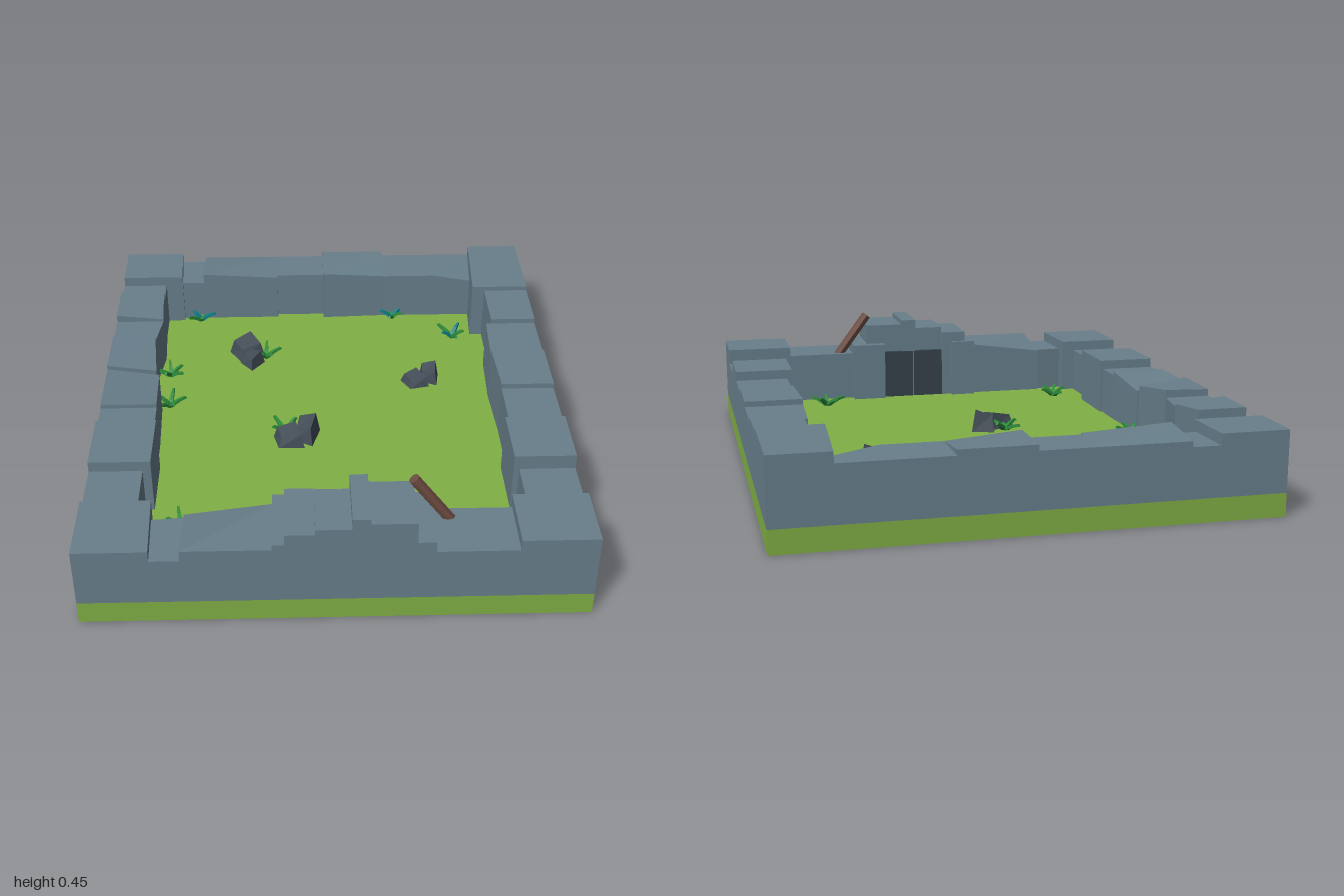
import * as THREE from 'three';

const mat = (color) => new THREE.MeshStandardMaterial({ color, flatShading: true });
const stone = mat(0x687f8b), turf = mat(0x80b045), slate = mat(0x424c56), dark = mat(0x37434b);
const wood = mat(0x6d4c41), leaf = mat(0x2e8b3a), teal = mat(0x0e8087);
const HX = 0.86, HZ = 1, BASE = 0.083;

function add(parent, name, geometry, material) {
  const mesh = new THREE.Mesh(geometry, material);
  mesh.name = name;
  parent.add(mesh);
  return mesh;
}

// Box whose eight corners are placed by a rule of their signs
function cornerBox(place) {
  const g = new THREE.BoxGeometry(2, 2, 2).toNonIndexed();
  const p = g.attributes.position;
  for (let i = 0; i < p.count; i++) p.setXYZ(i, ...place(p.getX(i), p.getY(i), p.getZ(i)));
  g.computeVertexNormals();
  return g;
}

// Wall stone: [start, end, depth at start, depth at end, outer height, inner height at start, at end]
function wallStone(side, [a0, a1, d0, d1, h, i0 = h, i1 = h]) {
  const alongX = side === 'front' || side === 'back';
  const out = side === 'front' || side === 'right' ? 1 : -1;
  return cornerBox((sx, sy, sz) => {
    const end = (alongX ? sx : sz) > 0;
    const outer = (alongX ? sz : sx) === out;
    const a = end ? a1 : a0, d = outer ? 0 : end ? d1 : d0;
    const y = sy < 0 ? BASE : outer ? h : end ? i1 : i0;
    return alongX ? [a, y, out * (HZ - d)] : [out * (HX - d), y, a];
  });
}

const walls = {
  left: [
    [-1, -0.79, 0.24, 0.25, 0.3], [-0.79, -0.665, 0.18, 0.18, 0.26],
    [-0.665, -0.475, 0.18, 0.19, 0.3, 0.3, 0.28], [-0.475, -0.33, 0.19, 0.17, 0.27],
    [-0.33, -0.105, 0.17, 0.19, 0.295, 0.3, 0.27], [-0.105, 0.14, 0.2, 0.21, 0.28, 0.25, 0.28],
    [0.14, 0.27, 0.21, 0.21, 0.265], [0.27, 0.52, 0.22, 0.22, 0.3],
    [0.52, 0.735, 0.19, 0.19, 0.26], [0.735, 1, 0.24, 0.25, 0.3],
  ],
  right: [
    [-1, -0.64, 0.21, 0.23, 0.318], [-0.64, -0.405, 0.18, 0.18, 0.3],
    [-0.405, -0.17, 0.2, 0.21, 0.28], [-0.17, 0.07, 0.21, 0.2, 0.3],
    [0.07, 0.305, 0.2, 0.2, 0.28], [0.305, 0.545, 0.22, 0.22, 0.315],
    [0.545, 0.76, 0.2, 0.2, 0.26], [0.76, 1, 0.26, 0.26, 0.32],
  ],
  back: [
    [-0.62, -0.52, 0.19, 0.19, 0.26], [-0.52, -0.2, 0.19, 0.19, 0.28, 0.3, 0.28],
    [-0.2, 0, 0.17, 0.17, 0.28], [0, 0.265, 0.2, 0.19, 0.3, 0.3, 0.28],
    [0.265, 0.48, 0.19, 0.19, 0.28], [0.48, 0.65, 0.19, 0.19, 0.28, 0.28, 0.25],
  ],
  front: [
    [-0.62, -0.5, 0.21, 0.22, 0.26], [-0.51, -0.21, 0.235, 0.235, 0.3, 0.26, 0.3],
    [-0.21, -0.11, 0.26, 0.26, 0.32], [-0.17, -0.07, 0.24, 0.24, 0.36],
    [-0.07, 0.05, 0.21, 0.21, 0.38], [0.05, 0.11, 0.235, 0.235, 0.42],
    [0.11, 0.262, 0.22, 0.22, 0.4], [0.19, 0.325, 0.26, 0.26, 0.32],
    [0.325, 0.61, 0.22, 0.22, 0.28],
  ],
};

// Tapered blade lying outwards from a clump
function blade(length, lean, turn) {
  const g = new THREE.BoxGeometry(0.02, length, 0.012, 1, 3, 1);
  g.translate(0, length / 2, 0);
  const p = g.attributes.position;
  for (let i = 0; i < p.count; i++) {
    const t = p.getY(i) / length;
    p.setX(i, p.getX(i) * (1.1 - 0.7 * t));
    p.setZ(i, p.getZ(i) + 0.02 * t * t);
  }
  return g.rotateX(lean).rotateY(turn);
}

function rock(w, h, d) {
  return cornerBox((sx, sy, sz) => {
    const k = sy > 0 ? 0.72 : 1;
    return [sx * w * k + sz * 0.006, sy > 0 ? h * (1 + 0.14 * sx - 0.12 * sz) : 0, sz * d * (k + 0.12 * sx)];
  });
}

export function createModel() {
  const root = new THREE.Group();
  root.name = 'walledYard';

  add(root, 'ground', new THREE.BoxGeometry(2 * HX, BASE, 2 * HZ).translate(0, BASE / 2, 0), turf);

  // Ruined stone walls
  for (const [side, stones] of Object.entries(walls)) {
    const wall = new THREE.Group();
    wall.name = side + 'Wall';
    root.add(wall);
    stones.forEach((s) => add(wall, 'wallStone', wallStone(side, s), stone));
  }

  // Dark doorway between the front pillars
  for (const x of [-0.005, 0.125]) {
    add(root, 'doorPanel', new THREE.BoxGeometry(0.125, 0.2, 0.02), dark).position.set(x, BASE + 0.1, 0.772);
  }

  // Leaning beam
  const beam = add(root, 'beam', new THREE.CylinderGeometry(0.02, 0.02, 0.24, 8), wood);
  beam.position.set(0.33, 0.345, 0.82);
  beam.rotation.z = 0.64;

  // Rock piles: x, z, half width, height, half depth, turn
  [
    [-0.33, -0.51, 0.055, 0.065, 0.05, 0.4], [-0.31, -0.44, 0.042, 0.045, 0.038, -0.8],
    [0.36, -0.27, 0.04, 0.04, 0.042, 0.35], [0.42, -0.3, 0.038, 0.06, 0.036, -0.3],
    [-0.155, 0.12, 0.05, 0.055, 0.045, 0.1], [-0.09, 0.085, 0.044, 0.07, 0.05, -0.4],
  ].forEach(([x, z, w, h, d, turn]) => {
    const r = add(root, 'rock', rock(w, h, d), slate);
    r.position.set(x, BASE - 0.002, z);
    r.rotation.y = turn;
  });

  // Grass clumps: x, z, turn, material of every second blade
  [
    [-0.54, -0.79, 0.2, teal], [0.3, -0.79, 0.9, teal], [0.55, -0.62, 1.3, teal],
    [-0.25, -0.48, 0.5, leaf], [-0.64, -0.35, 2, leaf], [-0.63, -0.13, 0.4, leaf],
    [-0.17, 0.06, 1.1, leaf], [-0.54, 0.62, 0.7, leaf], [0.46, 0.65, 2.4, leaf],
  ].forEach(([x, z, turn, second]) => {
    const clump = new THREE.Group();
    clump.name = 'grassClump';
    clump.position.set(x, BASE - 0.002, z);
    clump.rotation.y = turn;
    root.add(clump);
    for (let i = 0; i < 5; i++) {
      add(clump, 'blade', blade(0.06 + 0.012 * (i % 3), 0.55 + 0.2 * (i % 3), i * 1.3), i % 2 ? second : leaf);
    }
  });

  return root;
}
